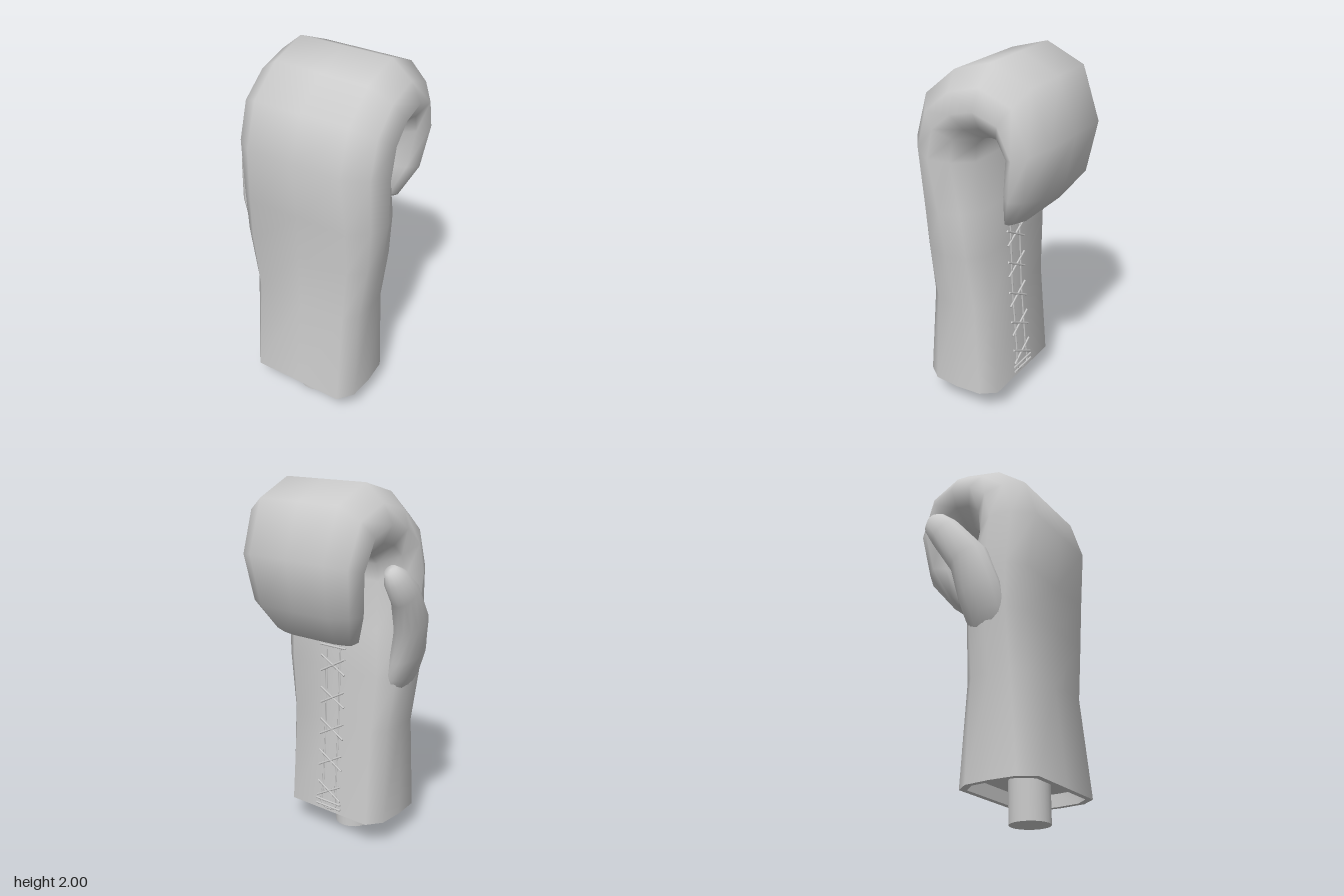
import * as THREE from 'three';
import { toCreasedNormals } from 'three/addons/utils/BufferGeometryUtils.js';

const material = new THREE.MeshStandardMaterial({ color: 0xcccccc, side: THREE.DoubleSide });

function addMesh(parent, name, geometry) {
  const mesh = new THREE.Mesh(geometry, material);
  mesh.name = name;
  parent.add(mesh);
  return mesh;
}

// Skin between rings of equal point count, closed at the end and optionally at the start
function loft(rings, capStart, crease = 2) {
  const n = rings[0].length, pos = [], idx = [];
  rings.forEach(r => r.forEach(p => pos.push(p.x, p.y, p.z)));
  for (let i = 0; i < rings.length - 1; i++) {
    for (let j = 0; j < n; j++) {
      const a = i * n + j, b = i * n + (j + 1) % n;
      idx.push(a, a + n, b, b, a + n, b + n);
    }
  }
  const cap = (ri, flip) => {
    const c = new THREE.Vector3();
    rings[ri].forEach(p => c.addScaledVector(p, 1 / n));
    const ci = pos.length / 3;
    pos.push(c.x, c.y, c.z);
    for (let j = 0; j < n; j++) {
      const a = ri * n + j, b = ri * n + (j + 1) % n;
      idx.push(ci, flip ? b : a, flip ? a : b);
    }
  };
  if (capStart) cap(0, false);
  cap(rings.length - 1, true);
  const g = new THREE.BufferGeometry();
  g.setAttribute('position', new THREE.Float32BufferAttribute(pos, 3));
  g.setIndex(idx);
  return toCreasedNormals(g, crease);
}

// Cross-sections: u across the hand, v from palm (-1) to back of hand (1)
const roundSection = [[1, -0.05], [0.87, 0.5], [0.61, 1], [0, 1], [-0.61, 1], [-0.87, 0.5],
  [-1, -0.05], [-0.87, -0.57], [-0.61, -1], [0, -1], [0.61, -1], [0.87, -0.57]];
const boxySection = [[1, 0], [0.98, 0.65], [0.8, 1], [0, 1], [-0.8, 1], [-0.98, 0.65],
  [-1, 0], [-0.98, -0.65], [-0.8, -1], [0, -1], [0.8, -1], [0.98, -0.65]];

// Stations along the curl: outer z, y, inner z, y, min x, max x, boxiness
const stations = [
  [0.37, 0.15, -0.08, 0.15, -0.29, 0.38, 0.9],
  [0.32, 0.69, -0.04, 0.69, -0.287, 0.375, 0.9],
  [0.33, 1.00, -0.03, 1.00, -0.345, 0.43, 0.65],
  [0.345, 1.25, -0.02, 1.25, -0.365, 0.46, 0.4],
  [0.38, 1.57, 0.025, 1.50, -0.37, 0.48, 0],
  [0.31, 1.80, 0.02, 1.59, -0.365, 0.48, 0],
  [0.14, 1.94, -0.02, 1.63, -0.36, 0.475, 0],
  [-0.07, 2.00, -0.07, 1.64, -0.355, 0.475, 0],
  [-0.28, 1.91, -0.12, 1.63, -0.345, 0.465, 0],
  [-0.38, 1.64, -0.15, 1.57, -0.33, 0.45, 0],
  [-0.33, 1.37, -0.125, 1.39, -0.30, 0.42, 0],
  [-0.21, 1.21, -0.105, 1.23, -0.22, 0.34, 0],
  [-0.175, 1.19, -0.125, 1.195, -0.17, 0.29, 0],
];

function sectionRing([oz, oy, iz, iy, x0, x1, boxy], inset = 0, lift = 0) {
  return roundSection.map(([ru, rv], i) => {
    const u = THREE.MathUtils.lerp(ru, boxySection[i][0], boxy);
    const v = THREE.MathUtils.lerp(rv, boxySection[i][1], boxy);
    const t = (v + 1) / 2;
    return new THREE.Vector3((x0 + x1) / 2 + u * ((x1 - x0) / 2 - inset),
      iy + (oy - iy) * t + lift, iz + (oz - iz) * t - v * inset);
  });
}

// Palm surface depth at a given height
function palmZ(y) {
  let i = 0;
  while (i < 2 && y > stations[i + 1][3]) i++;
  const a = stations[i], b = stations[i + 1];
  return a[2] + (b[2] - a[2]) * (y - a[3]) / (b[3] - a[3]);
}

// Elliptical ring for the thumb, leaning back as the thumb does
function thumbRing([x, y, z, rx, depth, lean]) {
  return Array.from({ length: 14 }, (_, i) => {
    const a = i / 14 * Math.PI * 2, d = Math.sin(a) * depth;
    return new THREE.Vector3(x + Math.cos(a) * rx, y + d * Math.sin(lean), z + d * Math.cos(lean));
  });
}

function rod(parent, name, a, b, radius) {
  const mesh = addMesh(parent, name, new THREE.CylinderGeometry(radius, radius, a.distanceTo(b), 6));
  mesh.position.copy(a).lerp(b, 0.5);
  mesh.quaternion.setFromUnitVectors(new THREE.Vector3(0, 1, 0), b.clone().sub(a).normalize());
}

export function createModel() {
  const glove = new THREE.Group();
  glove.name = 'glove';
  const cx = 0.045;

  // Curled hand and cuff
  addMesh(glove, 'gloveBody', loft(stations.map(s => sectionRing(s)), false));

  // Cuff rim and shallow recess
  const cuff = stations[0];
  addMesh(glove, 'cuffLining',
    loft([sectionRing(cuff), sectionRing(cuff, 0.03), sectionRing(cuff, 0.03, 0.07)], false, 0.8));

  // Thumb, its root sunk into the side of the hand
  addMesh(glove, 'thumb', loft([
    [-0.22, 0.84, 0.14, 0.05, 0.09, 0],
    [-0.295, 1.00, 0.13, 0.075, 0.12, 0.1],
    [-0.338, 1.12, 0.115, 0.08, 0.125, 0.2],
    [-0.38, 1.30, 0.075, 0.083, 0.11, 0.4],
    [-0.42, 1.48, -0.05, 0.065, 0.09, 0.6],
    [-0.415, 1.57, -0.125, 0.055, 0.07, 0.6],
    [-0.405, 1.615, -0.155, 0.028, 0.035, 0.6],
  ].map(thumbRing), true));

  // Post below the cuff
  const post = addMesh(glove, 'post', new THREE.CylinderGeometry(0.105, 0.105, 0.3, 24));
  post.position.set(cx, 0.15, 0.158);

  // Seam around the lace opening
  const onPalm = (x, y, out) => new THREE.Vector3(cx + x, y, palmZ(y) - out);
  const seam = [];
  for (let i = 0; i <= 8; i++) seam.push(onPalm(0.045, 0.18 + i * 0.125, 0));
  seam.push(onPalm(0.03, 1.215, 0), onPalm(0, 1.23, 0), onPalm(-0.03, 1.215, 0));
  for (let i = 8; i >= 0; i--) seam.push(onPalm(-0.045, 0.18 + i * 0.125, 0));
  addMesh(glove, 'laceSeam',
    new THREE.TubeGeometry(new THREE.CatmullRomCurve3(seam, true), 120, 0.006, 6, true));

  // Crossed laces with bars at the ends
  const laces = new THREE.Group();
  laces.name = 'laces';
  glove.add(laces);
  for (let i = 0; i < 5; i++) {
    const y = 0.23 + i * 0.185;
    for (const s of [-1, 1]) {
      rod(laces, 'crossLace', onPalm(-0.08 * s, y, 0.004), onPalm(0.08 * s, y + 0.09, 0.004), 0.006);
    }
  }
  for (const y of [0.18, 0.21, 1.12]) {
    rod(laces, 'laceBar', onPalm(-0.085, y, 0.004), onPalm(0.085, y, 0.004), 0.006);
  }
  return glove;
}
